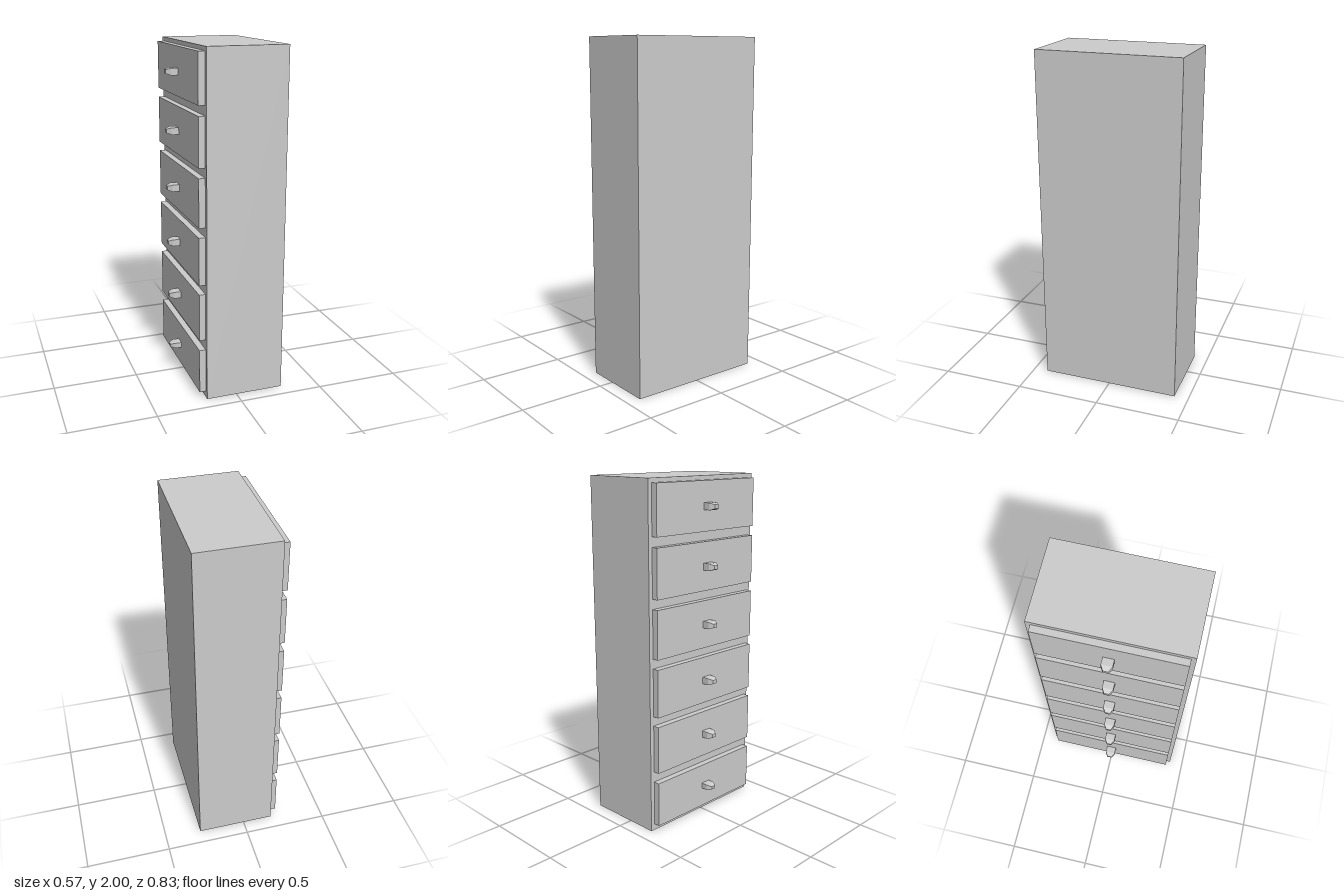
import * as THREE from 'three';

const material = new THREE.MeshStandardMaterial({ color: 0xcccccc, flatShading: true });

// Box given by its minimum and maximum corners
function box(name, [x0, y0, z0], [x1, y1, z1]) {
  const mesh = new THREE.Mesh(new THREE.BoxGeometry(x1 - x0, y1 - y0, z1 - z0), material);
  mesh.position.set((x0 + x1) / 2, (y0 + y1) / 2, (z0 + z1) / 2);
  mesh.name = name;
  return mesh;
}

// Block handle whose outer end is chamfered on all four sides
function knobGeometry(height) {
  const geometry = new THREE.BoxGeometry(0.068, height, 0.06, 2, 1, 1);
  const p = geometry.attributes.position;
  for (let i = 0; i < p.count; i++) {
    const x = p.getX(i);
    if (x < -0.03) p.setXYZ(i, x, p.getY(i) * 0.55, p.getZ(i) * 0.47);
    else if (x < 0.01) p.setX(i, -0.007);
  }
  geometry.computeVertexNormals();
  return geometry;
}

export function createModel() {
  const model = new THREE.Group();
  model.name = 'chestOfDrawers';
  model.add(box('cabinet', [-0.18, 0, -0.415], [0.283, 2, 0.415]));

  // Six drawers facing -x, the lowest one slightly shorter
  for (let i = 0; i < 6; i++) {
    const drawer = new THREE.Group();
    drawer.name = `drawer${i + 1}`;
    const y = 0.17 + i / 3;
    const bottom = y - (i === 0 ? 0.132 : 0.139);
    const top = y + (i === 0 ? 0.132 : 0.139);
    drawer.add(box('drawerFront', [-0.217, bottom, -0.39], [-0.18, top, 0.39]));
    const knob = new THREE.Mesh(knobGeometry(i === 0 ? 0.032 : 0.04), material);
    knob.name = 'knob';
    knob.position.set(-0.25, y, 0);
    drawer.add(knob);
    model.add(drawer);
  }
  return model;
}
